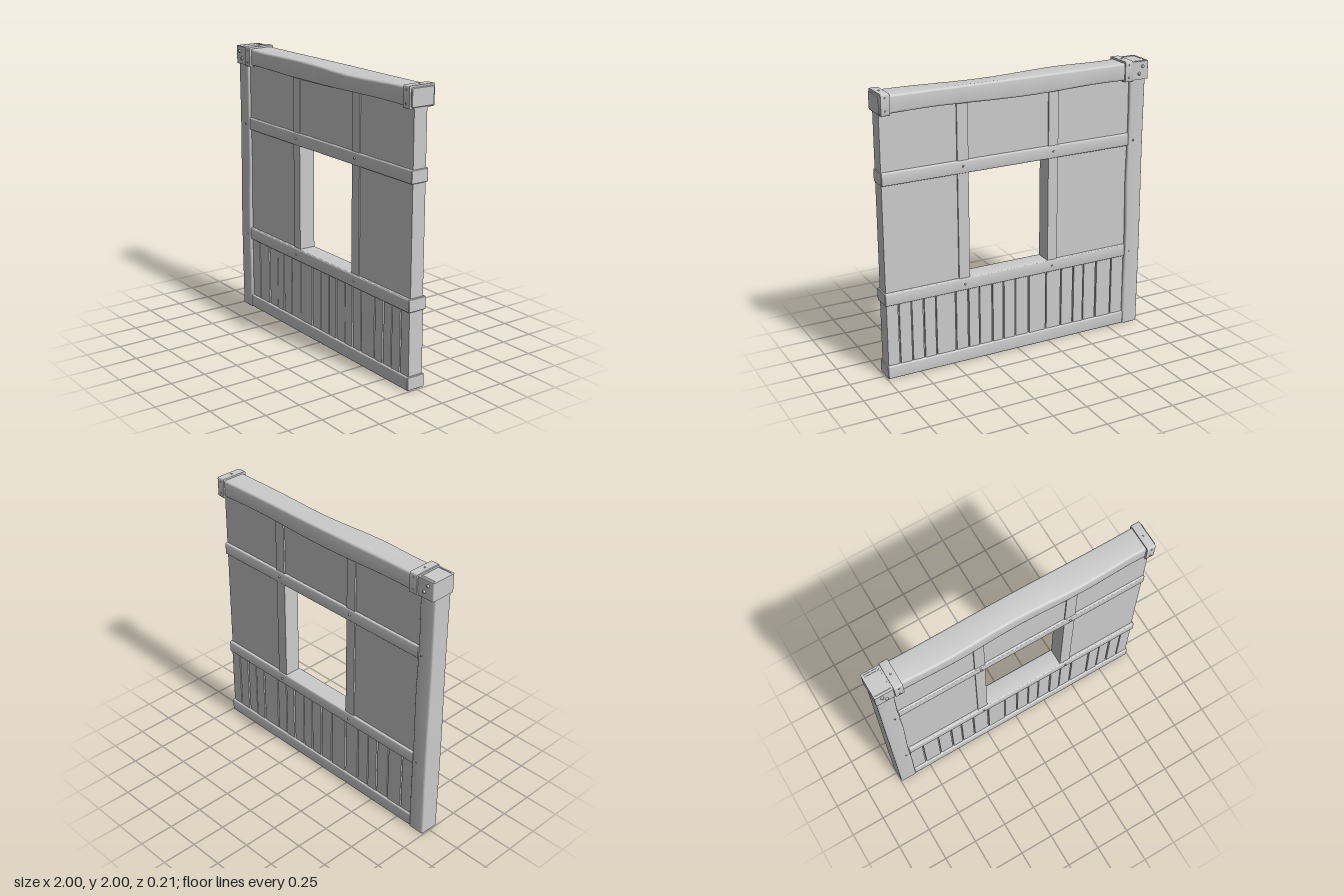
import * as THREE from 'three';
import { toCreasedNormals } from 'three/addons/utils/BufferGeometryUtils.js';

const material = new THREE.MeshStandardMaterial({ color: 0xcccccc });

function add(parent, name, geometry) {
  const mesh = new THREE.Mesh(geometry, material);
  mesh.name = name;
  parent.add(mesh);
  return mesh;
}

// Plain block given by its limits on each axis
function block(parent, name, [x0, x1], [y0, y1], [z0, z1]) {
  const mesh = add(parent, name, new THREE.BoxGeometry(x1 - x0, y1 - y0, z1 - z0));
  mesh.position.set((x0 + x1) / 2, (y0 + y1) / 2, (z0 + z1) / 2);
  return mesh;
}

function roundedRect(w, h, r, Type = THREE.Shape) {
  const s = new Type();
  const x = w / 2, y = h / 2;
  s.moveTo(-x + r, -y);
  s.lineTo(x - r, -y).quadraticCurveTo(x, -y, x, -y + r);
  s.lineTo(x, y - r).quadraticCurveTo(x, y, x - r, y);
  s.lineTo(-x + r, y).quadraticCurveTo(-x, y, -x, y - r);
  s.lineTo(-x, -y + r).quadraticCurveTo(-x, -y, -x + r, -y);
  return s;
}

// Bevelled timber running along 'x' or 'y'; warp(vertex) bends it by hand-hewn waves
function timber(parent, name, axis, xs, ys, zs, { r = 0.008, steps = 1, warp } = {}) {
  const size = [xs, ys, zs].map(([a, b]) => b - a);
  const mid = [xs, ys, zs].map(([a, b]) => (a + b) / 2);
  const along = axis === 'x';
  const length = along ? size[0] : size[1];
  const bevel = 0.004;
  const shape = roundedRect((along ? size[2] : size[0]) - 2 * bevel, (along ? size[1] : size[2]) - 2 * bevel, r);
  let g = new THREE.ExtrudeGeometry(shape, {
    depth: length - 2 * bevel, steps, curveSegments: 3,
    bevelEnabled: true, bevelThickness: bevel, bevelSize: bevel, bevelSegments: 1,
  });
  g.translate(0, 0, bevel - length / 2);
  if (along) g.rotateY(Math.PI / 2); else g.rotateX(-Math.PI / 2);
  g.translate(...mid);
  if (warp) {
    const p = g.attributes.position, v = new THREE.Vector3();
    for (let i = 0; i < p.count; i++) {
      v.fromBufferAttribute(p, i);
      warp(v);
      p.setXYZ(i, v.x, v.y, v.z);
    }
  }
  g = toCreasedNormals(g, 0.6);
  return add(parent, name, g);
}

// Hollow metal sleeve around a timber along 'x' or 'y'
function sleeve(parent, name, axis, w, h, length, wall, centre) {
  const shape = roundedRect(w, h, 0.01);
  shape.holes.push(roundedRect(w - 2 * wall, h - 2 * wall, 0.006, THREE.Path));
  const g = new THREE.ExtrudeGeometry(shape, { depth: length, bevelEnabled: false, curveSegments: 3 });
  g.translate(0, 0, -length / 2);
  if (axis === 'x') g.rotateY(Math.PI / 2); else g.rotateX(-Math.PI / 2);
  add(parent, name, toCreasedNormals(g, 0.6)).position.set(...centre);
}

// Matching rivets on front and back
function rivets(parent, name, points, zFront, zBack, radius, height) {
  for (const [x, y] of points) {
    for (const z of [zFront, zBack]) {
      const m = add(parent, name, new THREE.CylinderGeometry(radius * 0.65, radius, height, 8));
      m.rotation.x = Math.sign(z) * Math.PI / 2;
      m.position.set(x, y, z);
    }
  }
}

export function createModel() {
  const model = new THREE.Group();
  model.name = 'timberWindowWall';

  // Corner post, slightly swollen at mid height
  timber(model, 'cornerPost', 'y', [-0.995, -0.873], [0, 1.984], [-0.068, 0.077], {
    r: 0.01, steps: 24,
    warp: (v) => {
      const f = Math.sin((v.y / 2) * Math.PI);
      v.z += 0.005 * f * Math.sin(v.y * 3) * Math.sign(v.z);
      if (v.x > -0.93) v.x += 0.004 * f * Math.sin(v.y * 7);
    },
  });

  // Top beam with worn, wavy faces
  timber(model, 'topBeam', 'x', [-0.88, 0.998], [1.86, 1.983], [-0.09, 0.086], {
    r: 0.012, steps: 40,
    warp: (v) => {
      const fade = Math.max(0, 1 - Math.pow(Math.abs(v.x - 0.05) / 0.9, 4));
      if (v.y < 1.92) v.y -= fade * 0.008 * Math.cos(v.x * 4 + 0.2);
      else if (v.z > 0) v.y -= fade * 0.007 * (1 + Math.sin(v.x * 5));
      if (v.z > 0) v.z -= fade * 0.008 * Math.cos(v.x * 6.2);
      else v.z -= fade * 0.003 * Math.cos(v.x * 4);
    },
  });

  // Metal cap on the post and straps around the beam
  sleeve(model, 'postCap', 'y', 0.13, 0.184, 0.128, 0.012, [-0.935, 1.922, 0]);
  block(model, 'postCapFill', [-0.99, -0.88], [1.862, 1.982], [-0.082, 0.082]);
  for (const x of [-0.84, 0.958]) {
    sleeve(model, 'beamStrap', 'x', 0.198, 0.143, 0.06, 0.014, [x, 1.924, 0]);
    rivets(model, 'strapRivet', [[x, 1.97], [x, 1.885]], 0.1, -0.1, 0.007, 0.008);
    const top = add(model, 'strapTopRivet', new THREE.CylinderGeometry(0.005, 0.007, 0.006, 8));
    top.position.set(x, 1.997, 0);
  }
  rivets(model, 'capBolt', [[-0.953, 1.95], [-0.925, 1.9]], 0.096, -0.096, 0.013, 0.014);

  // Horizontal rails
  const front = 0.074, back = -0.063;
  timber(model, 'bottomRail', 'x', [-0.876, 0.994], [0.002, 0.097], [back, front], { r: 0.006 });
  timber(model, 'sillRail', 'x', [-0.876, 0.996], [0.54, 0.63], [back, front + 0.002], { r: 0.006 });
  timber(model, 'headRail', 'x', [-0.876, 0.99], [1.38, 1.47], [back, front - 0.004], { r: 0.006 });

  // Studs either side of the window
  const studs = [[-0.31, -0.235], [0.37, 0.45]];
  for (const xs of studs) block(model, 'windowStud', xs, [0.62, 1.87], [-0.056, 0.064]);

  // Infill panels, leaving the window open
  const depth = [-0.045, 0.056];
  const bays = [[-0.88, -0.31], [-0.235, 0.37], [0.45, 0.985]];
  bays.forEach((xs, i) => {
    block(model, 'upperPanel', xs, [1.46, 1.87], depth);
    if (i !== 1) block(model, 'sidePanel', xs, [0.62, 1.39], depth);
  });

  // Boards of uneven width below the sill, over a recessed core
  block(model, 'boardCore', [-0.88, 0.975], [0.09, 0.55], [-0.036, 0.046]);
  const seams = [-0.876, -0.77, -0.643, -0.537, -0.452, -0.352, -0.23, -0.09, 0.015, 0.11,
    0.197, 0.297, 0.382, 0.477, 0.626, 0.716, 0.805, 0.898, 0.99];
  for (let i = 0; i < seams.length - 1; i++) {
    const set = 0.002 * Math.sin(i * 2.4);
    block(model, 'board', [seams[i] + 0.005, seams[i + 1] - 0.005], [0.09, 0.55], [-0.05 - set, 0.061 + set]);
  }

  // Pegs at the joints
  const pegs = [];
  for (const x of [-0.27, 0.41]) pegs.push([x, 1.43], [x, 0.585]);
  rivets(model, 'jointPeg', pegs, front + 0.001, back - 0.002, 0.009, 0.012);
  rivets(model, 'postPeg', [[-0.91, 1.42], [-0.91, 0.575]], 0.082, -0.073, 0.007, 0.006);

  return model;
}
